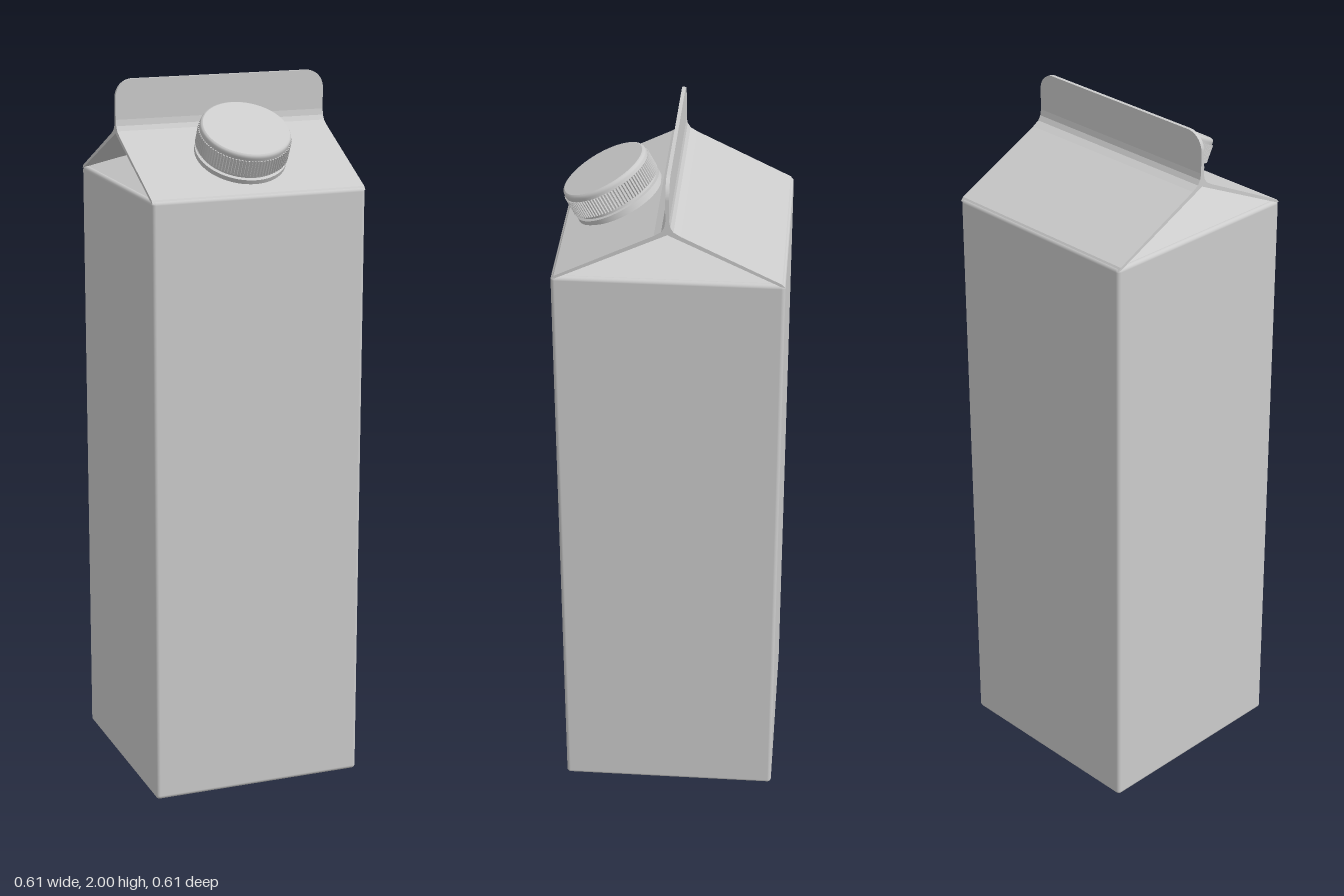
import * as THREE from 'three';
import { RoundedBoxGeometry } from 'three/addons/geometries/RoundedBoxGeometry.js';

const HALF = 0.307;   // half width of the carton
const EAVE = 1.712;   // height where the roof begins

export function createModel() {
  const carton = new THREE.Group();
  carton.name = 'gableTopCarton';
  const card = new THREE.MeshStandardMaterial({ color: 0xcccccc, side: THREE.DoubleSide });
  card.name = 'light grey card';

  const add = (name, geometry, parent = carton) => {
    const mesh = new THREE.Mesh(geometry, card);
    mesh.name = name;
    parent.add(mesh);
    return mesh;
  };

  // Tall square body with softly rounded edges
  const body = new RoundedBoxGeometry(HALF * 2, EAVE + 0.004, HALF * 2, 4, 0.011);
  body.translate(0, (EAVE + 0.004) / 2, 0);
  add('body', body);

  // Thin folded roof: outer slope curving up into the fin, then the underside
  const half = [[0.306, EAVE - 0.003], [0.298, EAVE + 0.007], [0.035, 1.848],
    [0.016, 1.86], [0.008, 1.873], [0.005, 1.89]];
  const outline = [
    ...half,
    ...half.slice().reverse().map(([z, y]) => [-z, y]),
    [-0.295, EAVE], [0, 1.852], [0.295, EAVE],
  ].map(([z, y]) => new THREE.Vector2(z, y));
  const roof = new THREE.ExtrudeGeometry(new THREE.Shape(outline),
    { depth: HALF * 2 - 0.002, bevelEnabled: false });
  roof.translate(0, 0, -HALF + 0.001);
  roof.rotateY(Math.PI / 2);
  add('roof', roof);

  // Upright sealing fin with rounded upper corners
  const w = HALF - 0.001, r = 0.05, top = 2;
  const finShape = new THREE.Shape();
  finShape.moveTo(-w, 1.855);
  finShape.lineTo(w, 1.855);
  finShape.lineTo(w, top - r);
  finShape.absarc(w - r, top - r, r, 0, Math.PI / 2);
  finShape.lineTo(-w + r, top);
  finShape.absarc(-w + r, top - r, r, Math.PI / 2, Math.PI);
  finShape.closePath();
  const fin = new THREE.ExtrudeGeometry(finShape, { depth: 0.01, bevelEnabled: false, curveSegments: 10 });
  fin.translate(0, 0, -0.005);
  add('sealingFin', fin);

  // Gussets tucked inwards beneath the roof at both ends
  for (const s of [1, -1]) {
    const e = 0.304;
    const front = [s * e, EAVE, e], back = [s * e, EAVE, -e];
    const tuck = [s * 0.02, 1.84, 0], ridge = [s * e, 1.853, 0];
    const faces = [[front, back, tuck], [front, tuck, ridge], [back, ridge, tuck]];
    const corners = faces.flatMap((f) => (s > 0 ? f : [f[0], f[2], f[1]])).flat();
    const gusset = new THREE.BufferGeometry();
    gusset.setAttribute('position', new THREE.Float32BufferAttribute(corners, 3));
    gusset.computeVertexNormals();
    add(s > 0 ? 'leftGusset' : 'rightGusset', gusset);
  }

  // Screw cap standing square to the front slope
  const cap = new THREE.Group();
  cap.name = 'screwCap';
  cap.position.set(0, 1.79, 0.149);
  cap.rotation.x = THREE.MathUtils.degToRad(28);
  carton.add(cap);

  const lathe = (points) => new THREE.LatheGeometry(points.map(([x, y]) => new THREE.Vector2(x, y)), 64);

  // Pouring neck flange and tamper ring
  add('neckRing', lathe([[0.121, -0.012], [0.121, 0.006], [0.121, 0.006], [0.127, 0.008],
    [0.127, 0.008], [0.127, 0.021], [0.127, 0.021], [0.119, 0.023]]), cap);

  // Core of the cap with a rounded top rim
  add('capTop', lathe([[0.119, 0.018], [0.119, 0.03], [0.119, 0.03], [0.125, 0.031], [0.125, 0.031],
    [0.125, 0.09], [0.1245, 0.095], [0.122, 0.099], [0.118, 0.101], [0.118, 0.101], [0, 0.101]]), cap);

  // Fine vertical grip ribs around the cap
  const ribs = 90, gear = [];
  for (let i = 0; i < ribs * 4; i++) {
    const a = (i / (ribs * 4)) * Math.PI * 2;
    const radius = i % 4 < 2 ? 0.1285 : 0.1245;
    gear.push(new THREE.Vector2(Math.cos(a) * radius, Math.sin(a) * radius));
  }
  const grip = new THREE.ExtrudeGeometry(new THREE.Shape(gear), { depth: 0.05, bevelEnabled: false });
  grip.rotateX(-Math.PI / 2);
  grip.translate(0, 0.033, 0);
  add('capGrip', grip, cap);

  return carton;
}
